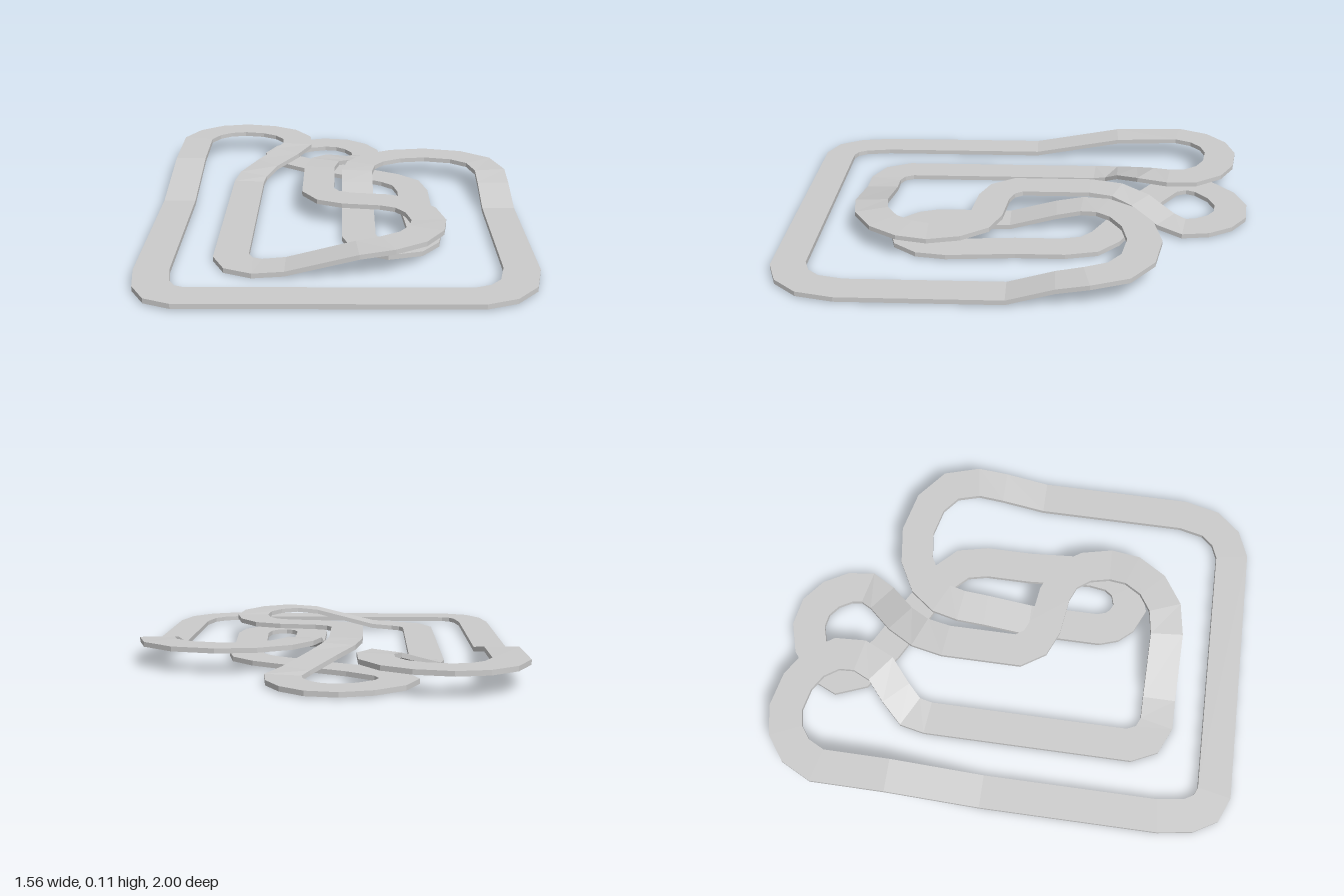
import * as THREE from 'three';

const LOW = 0.017, HIGH = 0.095;
const WIDTH = 0.14, THICK = 0.02;

// Centreline of the band, in order of travel; each point is [x, z, y]
const leftLoop = [
  [-0.71, -0.05, LOW], [-0.71, -0.45, 0.088], [-0.71, -0.75, HIGH], [-0.66, -0.85, HIGH],
  [-0.58, -0.91, HIGH], [-0.48, -0.93, HIGH], [-0.36, -0.905, HIGH], [-0.27, -0.85, HIGH],
  [-0.21, -0.76, HIGH], [-0.205, -0.66, HIGH], [-0.25, -0.56, 0.088], [-0.34, -0.48, 0.055],
  [-0.405, -0.41, 0.02], [-0.42, -0.33, 0.011],
];
const innerBend = [
  [-0.42, 0.55, 0.011], [-0.385, 0.625, 0.011], [-0.31, 0.66, 0.012], [-0.2, 0.66, 0.02],
  [0.08, 0.66, 0.09], [0.2, 0.64, 0.102], [0.3, 0.575, 0.102], [0.36, 0.48, 0.1],
  [0.375, 0.38, HIGH], [0.35, 0.27, HIGH], [0.29, 0.185, HIGH], [0.2, 0.147, HIGH],
  [0.04, 0.125, HIGH], [-0.04, 0.09, HIGH], [-0.085, 0.02, HIGH],
];
const smallLoop = [
  [-0.085, -0.3, HIGH], [-0.06, -0.42, 0.09], [0, -0.52, 0.07], [0.1, -0.625, 0.028],
  [0.145, -0.7, LOW], [0.135, -0.78, LOW], [0.09, -0.86, LOW], [0.02, -0.915, LOW],
  [-0.07, -0.93, LOW], [-0.17, -0.9, LOW], [-0.26, -0.83, LOW], [-0.295, -0.75, LOW],
  [-0.26, -0.66, LOW], [-0.13, -0.565, LOW], [0.1, -0.445, LOW],
];
const hook = [
  [0.25, -0.36, LOW], [0.32, -0.29, LOW], [0.345, -0.18, LOW], [0.345, 0.02, LOW],
  [0.365, 0.3, LOW], [0.35, 0.4, LOW], [0.3, 0.465, LOW], [0.21, 0.49, LOW],
  [0.145, 0.46, LOW], [0.11, 0.42, LOW], [0.09, 0.36, LOW], [0.09, 0.05, LOW],
];
const rightLoop = [
  [0.09, -0.15, 0.07], [0.09, -0.26, 0.09], [0.11, -0.35, HIGH], [0.17, -0.43, HIGH],
  [0.28, -0.49, HIGH], [0.42, -0.51, HIGH], [0.57, -0.475, HIGH], [0.67, -0.395, HIGH],
  [0.71, -0.27, 0.09], [0.71, -0.15, 0.07], [0.71, 0.04, LOW],
];
const frame = [
  [0.71, 0.69, LOW], [0.68, 0.82, LOW], [0.615, 0.895, LOW], [0.525, 0.93, LOW],
  [-0.58, 0.93, LOW], [-0.65, 0.9, LOW], [-0.69, 0.83, LOW], [-0.71, 0.7, LOW],
];

// Rectangular cross-section at point i, mitred between its two neighbours
function crossSection(path, i) {
  const n = path.length;
  const at = (k) => new THREE.Vector2(path[(k + n) % n][0], path[(k + n) % n][1]);
  const before = at(i).sub(at(i - 1)).normalize();
  const after = at(i + 1).sub(at(i)).normalize();
  const dir = before.clone().add(after).normalize();
  const half = WIDTH / 2 / dir.dot(after);
  const [x, z, y] = path[i];
  return [[1, 1], [-1, 1], [-1, -1], [1, -1]].map(([side, up]) => [
    x - dir.y * half * side, y + up * THICK / 2, z + dir.x * half * side,
  ]);
}

// Closed band: four strips of quads joining successive cross-sections
function bandGeometry(path) {
  const rings = path.map((_, i) => crossSection(path, i));
  const positions = [];
  rings.forEach((ring, i) => {
    const next = rings[(i + 1) % rings.length];
    for (let k = 0; k < 4; k++) {
      const j = (k + 1) % 4;
      positions.push(...ring[j], ...ring[k], ...next[k], ...ring[j], ...next[k], ...next[j]);
    }
  });
  const geometry = new THREE.BufferGeometry();
  geometry.setAttribute('position', new THREE.Float32BufferAttribute(positions, 3));
  geometry.computeVertexNormals();
  return geometry;
}

export function createModel() {
  const group = new THREE.Group();
  group.name = 'knottedBand';
  const path = [...leftLoop, ...innerBend, ...smallLoop, ...hook, ...rightLoop, ...frame];
  const material = new THREE.MeshStandardMaterial({ color: 0xcccccc, flatShading: true });
  const band = new THREE.Mesh(bandGeometry(path), material);
  band.name = 'band';
  group.add(band);
  return group;
}
